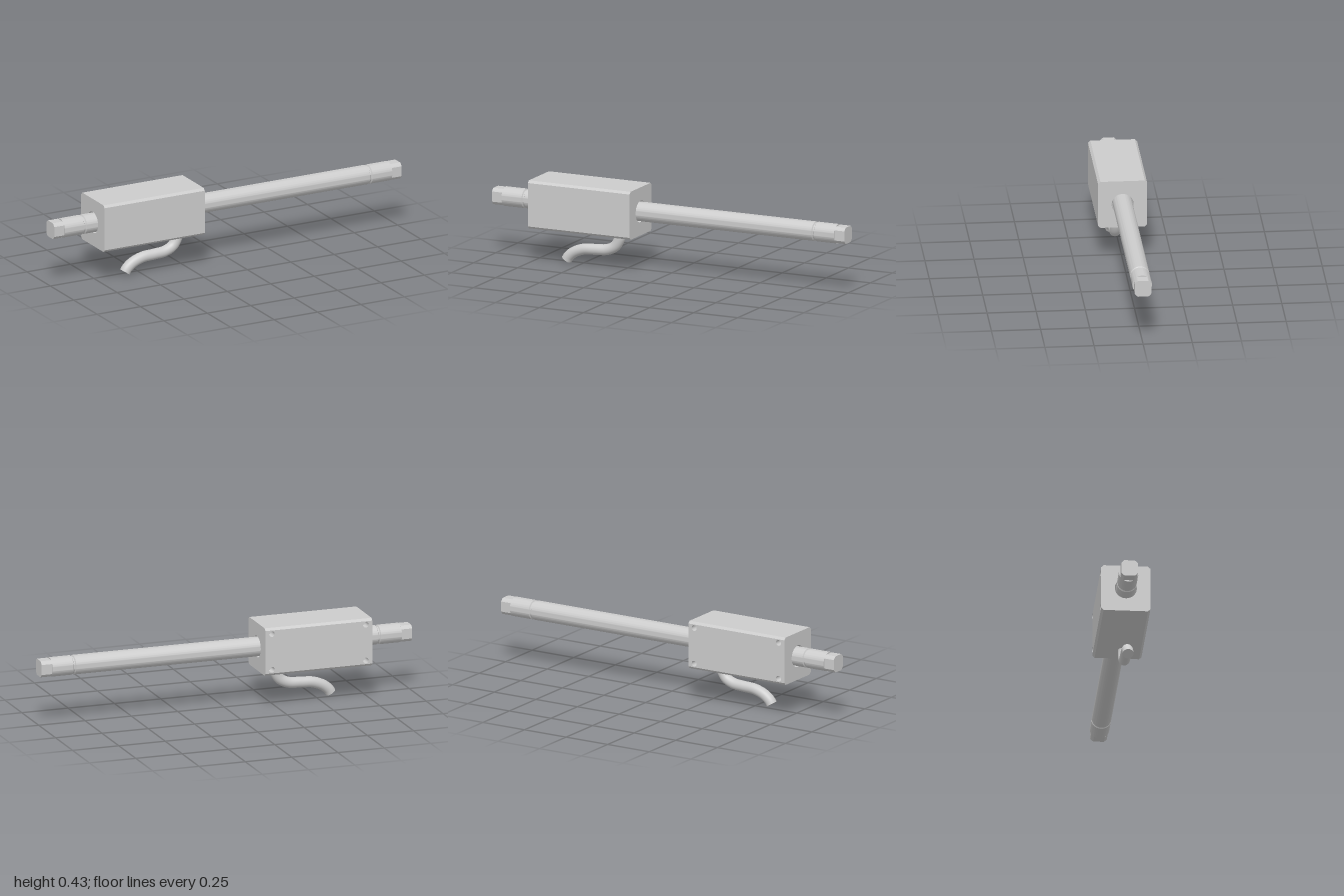
import * as THREE from 'three';
import { toCreasedNormals } from 'three/addons/utils/BufferGeometryUtils.js';

const AXIS_Y = 0.295;                 // height of the rod axis
const X0 = -0.755, X1 = -0.178;       // housing ends
const HALF = 0.125, CUT = 0.012;      // housing half width and edge chamfer
const ROD_R = 0.05, BORE_R = 0.056, FLAT = 0.0425;

const mat = new THREE.MeshStandardMaterial({ color: 0xcccccc });
const matDouble = new THREE.MeshStandardMaterial({ color: 0xcccccc, side: THREE.DoubleSide });
const matInside = new THREE.MeshStandardMaterial({ color: 0xcccccc, side: THREE.BackSide });

function add(parent, name, geometry, material = mat) {
  const mesh = new THREE.Mesh(geometry, material);
  mesh.name = name;
  parent.add(mesh);
  return mesh;
}

function circleHole(x, y, r) {
  return new THREE.Path().absarc(x, y, r, 0, Math.PI * 2, true);
}

// Housing: chamfered square tube along x, axis on y = 0
function makeHousing() {
  const housing = new THREE.Group();
  housing.name = 'housing';
  const length = X1 - X0, mid = (X0 + X1) / 2, f = HALF - CUT;
  const outline = [[HALF, -f], [HALF, f], [f, HALF], [-f, HALF],
    [-HALF, f], [-HALF, -f], [-f, -HALF], [f, -HALF]].map(([z, y]) => new THREE.Vector2(z, y));

  // End plates with the bore opening
  for (const s of [-1, 1]) {
    const shape = new THREE.Shape(outline);
    shape.holes.push(circleHole(0, 0, BORE_R));
    const plate = add(housing, 'endFace', new THREE.ShapeGeometry(shape, 32));
    plate.rotation.y = s * Math.PI / 2;
    plate.position.x = s > 0 ? X1 : X0;
  }

  // Long faces and chamfers; the back face is made separately with its holes
  outline.forEach((a, i) => {
    if (i === 4) return;
    const b = outline[(i + 1) % 8];
    const c = a.clone().add(b).multiplyScalar(0.5);
    const face = add(housing, 'sideFace', new THREE.PlaneGeometry(length, a.distanceTo(b)));
    face.position.set(mid, c.y, c.x);
    face.rotation.x = -Math.atan2(c.y, c.x);
  });

  // Back face with four blind mounting holes
  const back = new THREE.Group();
  back.name = 'mountingFace';
  back.position.set(mid, 0, -HALF);
  back.rotation.y = Math.PI;
  housing.add(back);
  const w = length / 2, r = 0.015, depth = 0.05;
  const shape = new THREE.Shape([[-w, -f], [w, -f], [w, f], [-w, f]].map(p => new THREE.Vector2(...p)));
  for (const sx of [-1, 1]) for (const sy of [-1, 1]) {
    const x = sx * (w - 0.035), y = sy * (HALF - 0.031);
    shape.holes.push(circleHole(x, y, r));
    const wall = add(back, 'mountingHole',
      new THREE.CylinderGeometry(r, r, depth, 24, 1, true).rotateX(Math.PI / 2), matInside);
    wall.position.set(x, y, -depth / 2);
    add(back, 'mountingHoleFloor', new THREE.CircleGeometry(r, 24)).position.set(x, y, -depth);
  }
  add(back, 'backFace', new THREE.ShapeGeometry(shape, 12));

  // Through bore
  const bore = new THREE.CylinderGeometry(BORE_R, BORE_R, length, 64, 1, true).rotateZ(Math.PI / 2);
  add(housing, 'bore', bore, matInside).position.x = mid;
  return housing;
}

// Sliding rod: turned body with a groove near each end and four-flat tips
function makeRod() {
  const rod = new THREE.Group();
  rod.name = 'rod';
  const end = 0.943;
  const half = [[0, end], [ROD_R, end], [ROD_R, 0.83], [0.044, 0.826], [0.044, 0.819], [ROD_R, 0.815]];
  const profile = [...half.map(([r, x]) => [r, -x]), ...half.slice().reverse()];
  const body = new THREE.LatheGeometry(profile.map(p => new THREE.Vector2(...p)), 64);
  add(rod, 'rodBody', toCreasedNormals(body, 0.5).rotateZ(-Math.PI / 2));

  const section = [];
  const flatAngle = Math.acos(FLAT / ROD_R);
  for (let q = 0; q < 4; q++) for (let i = 0; i <= 6; i++) {
    const a = q * Math.PI / 2 + flatAngle + (Math.PI / 2 - 2 * flatAngle) * i / 6;
    section.push(new THREE.Vector2(ROD_R * Math.cos(a), ROD_R * Math.sin(a)));
  }
  const tip = new THREE.ExtrudeGeometry(new THREE.Shape(section), { depth: 1 - end, bevelEnabled: false });
  const tipGeometry = toCreasedNormals(tip, 0.3);
  for (const s of [-1, 1]) {
    const mesh = add(rod, 'flattedTip', tipGeometry);
    mesh.rotation.y = s * Math.PI / 2;
    mesh.position.x = s * end;
  }
  return rod;
}

// Cable leaving the underside in an S bend
function makeCable() {
  const cable = new THREE.Group();
  cable.name = 'cable';
  const r = 0.028;
  const path = new THREE.CatmullRomCurve3([
    [-0.279, 0.175], [-0.285, 0.145], [-0.31, 0.105], [-0.355, 0.083], [-0.42, 0.077],
    [-0.485, 0.072], [-0.54, 0.052], [-0.572, 0.027], [-0.584, 0.009],
  ].map(([x, y]) => new THREE.Vector3(x, y, 0.025)));
  add(cable, 'cableSheath', new THREE.TubeGeometry(path, 64, r, 32), matDouble);
  const cap = add(cable, 'cableEnd', new THREE.CircleGeometry(r, 32), matDouble);
  cap.position.copy(path.getPoint(1));
  cap.quaternion.setFromUnitVectors(new THREE.Vector3(0, 0, 1), path.getTangent(1));
  return cable;
}

export function createModel() {
  const model = new THREE.Group();
  model.name = 'linearActuator';
  const housing = makeHousing(), rod = makeRod();
  housing.position.y = rod.position.y = AXIS_Y;
  model.add(housing, rod, makeCable());
  return model;
}
